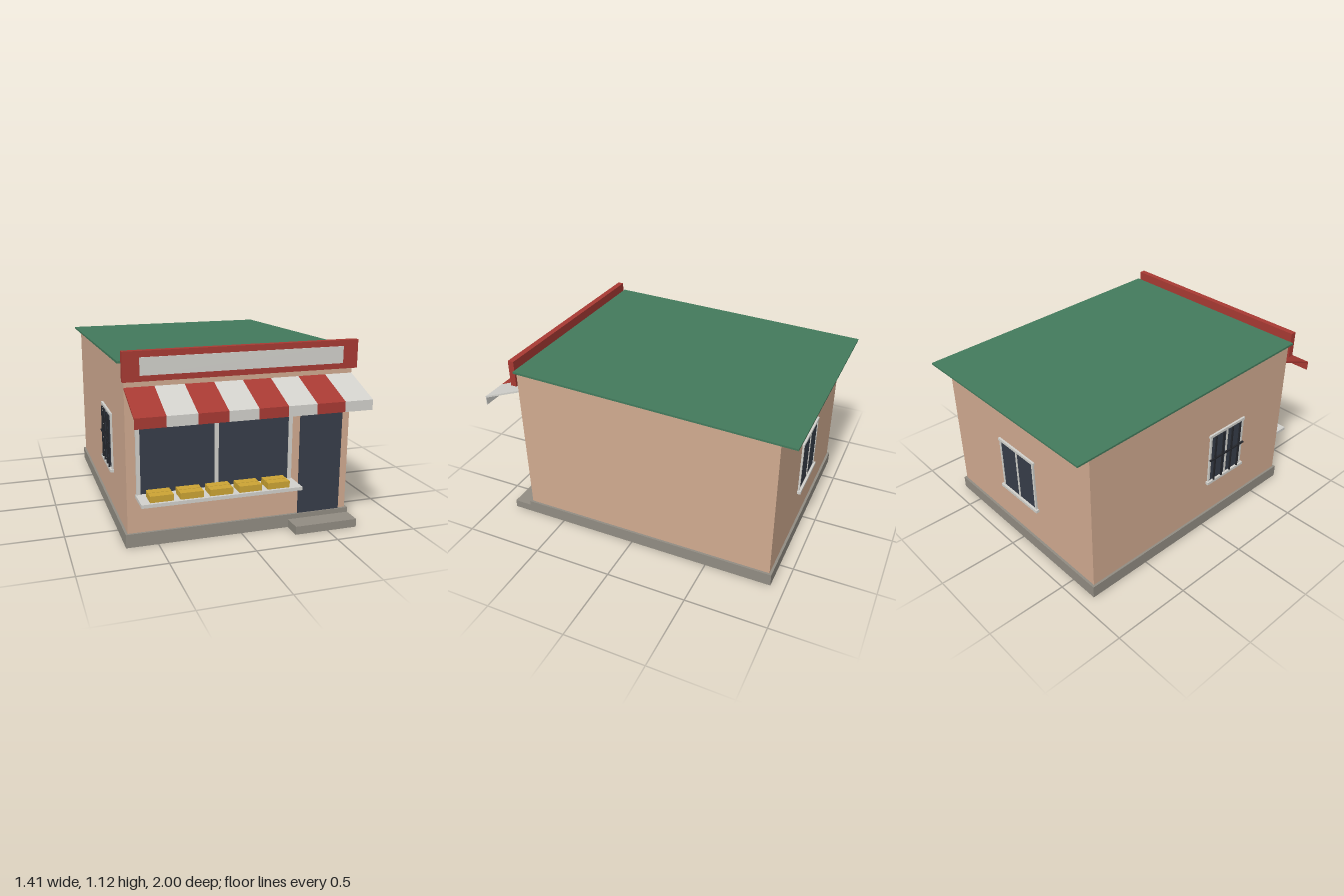
import * as THREE from 'three';

const mat = (name, color) => {
  const m = new THREE.MeshStandardMaterial({ color });
  m.name = name;
  return m;
};

export function createModel() {
  const wall = mat('plaster', 0xd0aa90);
  const red = mat('red', 0xa83a33);
  const white = mat('offWhite', 0xd2d1cc);
  const green = mat('roofGreen', 0x437a5c);
  const stone = mat('stone', 0x918c82);
  const glass = mat('darkGlass', 0x373d49);
  const yellow = mat('crateYellow', 0xcca434);
  const iron = mat('iron', 0x24262c);

  const shop = new THREE.Group();
  shop.name = 'shop';

  // Box given by its limits on each axis
  const box = (name, m, x0, x1, y0, y1, z0, z1, parent = shop) => {
    const mesh = new THREE.Mesh(new THREE.BoxGeometry(x1 - x0, y1 - y0, z1 - z0), m);
    mesh.position.set((x0 + x1) / 2, (y0 + y1) / 2, (z0 + z1) / 2);
    mesh.name = name;
    parent.add(mesh);
    return mesh;
  };

  // Side profile of [z, y] points, extruded from x0 to x1
  const profile = (name, m, x0, x1, points, parent = shop) => {
    const shape = new THREE.Shape(points.map(([z, y]) => new THREE.Vector2(z, y)));
    const geo = new THREE.ExtrudeGeometry(shape, { depth: x1 - x0, bevelEnabled: false });
    geo.rotateY(-Math.PI / 2).translate(x1, 0, 0);
    const mesh = new THREE.Mesh(geo, m);
    mesh.name = name;
    parent.add(mesh);
    return mesh;
  };

  const group = (name) => {
    const g = new THREE.Group();
    g.name = name;
    shop.add(g);
    return g;
  };

  // Foundation, step, walls and sloping roof
  box('foundation', stone, -0.687, 0.687, 0, 0.08, -0.915, 0.755);
  box('doorStep', stone, 0.295, 0.687, 0, 0.05, 0.75, 0.87);
  profile('walls', wall, -0.673, 0.673, [[-0.9, 0.07], [0.74, 0.07], [0.74, 1.052], [-0.9, 0.998]]);
  profile('roof', green, -0.704, 0.704, [[-1, 0.993], [0.74, 1.051], [0.74, 1.064], [-1, 1.004]]);

  // Sign board with blank panel
  box('signBoard', red, -0.686, 0.686, 0.955, 1.12, 0.741, 0.779);
  box('signPanel', white, -0.593, 0.593, 0.988, 1.086, 0.777, 0.784);

  // Striped awning: slope and hanging valance in each stripe
  const awning = group('awning');
  const stripe = 1.346 / 8;
  for (let i = 0; i < 8; i++) {
    const x = -0.673 + i * stripe;
    profile('awningStripe', i % 2 ? white : red, x, x + stripe, [
      [0.74, 0.908], [0.995, 0.81], [0.995, 0.76], [1, 0.76], [1, 0.819], [0.74, 0.919],
    ], awning);
  }

  // Shop window with frame posts and display shelf
  const display = group('displayWindow');
  box('displayGlass', glass, -0.6, 0.29, 0.31, 0.725, 0.738, 0.747, display);
  for (const x of [-0.608, -0.155, 0.294]) {
    box('framePost', white, x - 0.011, x + 0.011, 0.31, 0.725, 0.738, 0.755, display);
  }
  box('displayShelf', white, -0.625, 0.31, 0.29, 0.31, 0.74, 0.905, display);

  // Two rows of crates on the shelf
  const crates = group('crates');
  for (let i = 0; i < 5; i++) {
    const x = -0.574 + i * 0.17;
    for (const z of [0.783, 0.838]) {
      box('crate', yellow, x, x + 0.132, 0.31, 0.347, z, z + 0.05, crates);
    }
  }

  // Door and lintel
  box('door', glass, 0.358, 0.626, 0.08, 0.692, 0.738, 0.748);
  box('doorLintel', white, 0.345, 0.64, 0.692, 0.713, 0.738, 0.756);

  // Small window, built facing +z around its own origin
  const smallWindow = (name, halfWidth) => {
    const g = group(name);
    const w = halfWidth;
    box('glass', glass, -w, w, 0.33, 0.66, -0.002, 0.007, g);
    for (const x of [-w, 0, w]) {
      box('mullion', white, x - 0.007, x + 0.007, 0.33, 0.66, -0.002, 0.011, g);
    }
    box('sill', white, -w - 0.02, w + 0.02, 0.312, 0.33, -0.002, 0.022, g);
    box('lintel', white, -w - 0.015, w + 0.015, 0.66, 0.677, -0.002, 0.013, g);
    return g;
  };

  const backWindow = smallWindow('backWindow', 0.16);
  backWindow.rotation.y = Math.PI;
  backWindow.position.set(0, 0, -0.9);

  const sideWindow = smallWindow('sideWindow', 0.145);
  sideWindow.rotation.y = -Math.PI / 2;
  sideWindow.position.set(-0.673, 0, 0.19);

  // Iron bars on the side window
  for (const x of [-0.11, -0.04, 0.04, 0.11]) {
    box('bar', iron, x - 0.005, x + 0.005, 0.33, 0.66, 0.013, 0.022, sideWindow);
  }
  box('crossBar', iron, -0.155, 0.155, 0.49, 0.5, 0.013, 0.024, sideWindow);

  return shop;
}
